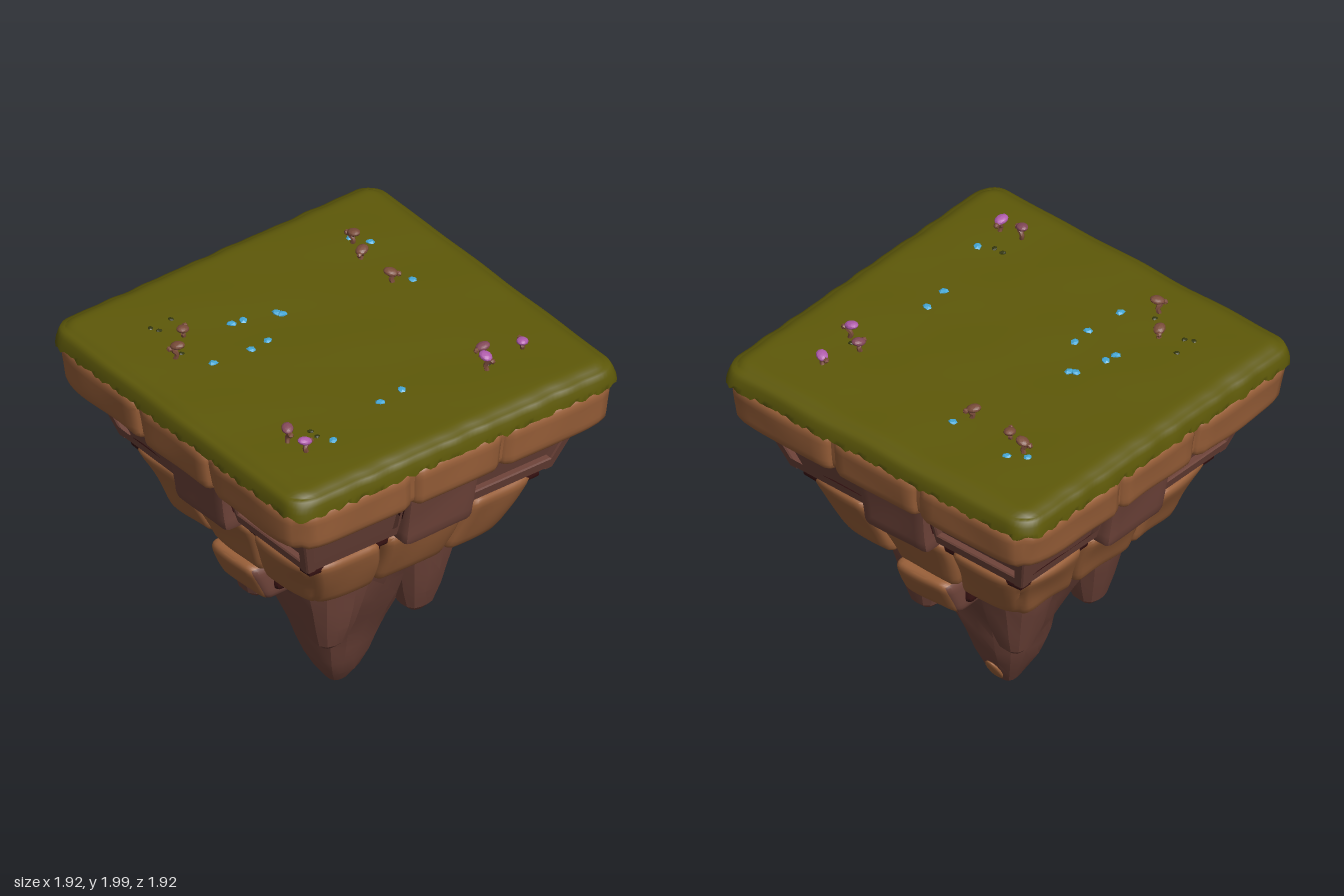
import * as THREE from 'three';
import { toCreasedNormals } from 'three/addons/utils/BufferGeometryUtils.js';

const mat = (name, color) => Object.assign(new THREE.MeshStandardMaterial({ color }), { name });
const grass = mat('grass', 0x5e5909);
const stone = mat('warm stone', 0x9a6039);
const rock = mat('brown rock', 0x6f443a);
const gap = mat('dark gap', 0x361212);
const stem = mat('dry stem', 0x7a4c3a);
const mauve = mat('mauve cap', 0x84495a);
const pink = mat('pink petal', 0xb05cac);
const blue = mat('blue petal', 0x46a8d6);
const leaf = mat('dark leaf', 0x35380f);

// Smooth deterministic wobble, roughly -1..1
const wobble = (x, y, z) =>
  (Math.sin(x * 13 + z * 7 + 1) + Math.sin(y * 17 - x * 9 + 2) + Math.sin(z * 15 + y * 11 + 4)) / 3;

// Move every vertex by a rule
function warp(geo, rule) {
  const p = geo.attributes.position, v = new THREE.Vector3();
  for (let i = 0; i < p.count; i++) {
    rule(v.fromBufferAttribute(p, i));
    p.setXYZ(i, v.x, v.y, v.z);
  }
  return geo;
}

function add(group, name, geo, material, crease = 0.6) {
  const mesh = new THREE.Mesh(toCreasedNormals(geo, crease), material);
  mesh.name = name;
  group.add(mesh);
  return mesh;
}

// Rounded, hewn block between two corners; narrows towards the axis at its foot
function block([x0, x1], [y0, y1], [z0, z1], { r = 0.04, taper = 1, rough = 0.01 } = {}) {
  const h = new THREE.Vector3(x1 - x0, y1 - y0, z1 - z0).multiplyScalar(0.5);
  const lim = h.clone().subScalar(r), inner = new THREE.Vector3();
  const geo = new THREE.BoxGeometry(h.x * 2, h.y * 2, h.z * 2, 12, 10, 12);
  return warp(geo, v => {
    inner.copy(v).clamp(lim.clone().negate(), lim);
    v.sub(inner).setLength(r).add(inner);
    const s = taper + (1 - taper) * (v.y / h.y + 1) / 2;
    v.x += (x0 + x1) / 2; v.y += (y0 + y1) / 2; v.z += (z0 + z1) / 2;
    const n = wobble(v.x, v.y, v.z) * rough;
    v.x = v.x * s + n; v.z = v.z * s - n; v.y += n * 0.6;
  });
}

// Pull the plan of a square course in at its corners
const softenCorners = (geo, power) => warp(geo, v => {
  const a = Math.abs(v.x), b = Math.abs(v.z);
  const k = Math.max(a, b) / Math.pow(a ** power + b ** power, 1 / power);
  v.x *= k; v.z *= k;
});

// Eight blocks around a square
function ring(group, name, half, cut, joint, ys, power, opts) {
  const spans = [[-half, -cut - joint], [-cut + joint, cut - joint], [cut + joint, half]];
  for (let i = 0; i < 3; i++) for (let j = 0; j < 3; j++)
    if (i !== 1 || j !== 1) add(group, name, softenCorners(block(spans[i], ys, spans[j], opts), power), stone, 0.9);
}

// Lathed rock with a squarish plan and rough, faceted surface
function boulder(profile, sides, square, rough, dx = 0, dz = 0) {
  const geo = new THREE.LatheGeometry(profile.map(p => new THREE.Vector2(...p)), sides);
  return warp(geo, v => {
    const a = Math.atan2(v.z, v.x);
    const k = 1 - square * Math.cos(4 * a) + (v.y > 0.02 ? wobble(v.x * 1.4 + dx, v.y, v.z * 1.4 + dz) * rough : 0);
    v.x = v.x * k + dx; v.z = v.z * k + dz;
  });
}

function buildGrass(group) {
  const geo = new THREE.BoxGeometry(1.91, 0.115, 1.91, 72, 4, 72);
  warp(geo, v => {
    const top = v.y > 0.05, bottom = v.y < -0.05;
    const inX = THREE.MathUtils.clamp(v.x, -0.85, 0.85), inZ = THREE.MathUtils.clamp(v.z, -0.85, 0.85);
    const d = Math.hypot(v.x - inX, v.z - inZ);
    // rounded plan corners and shoulder
    if (d > 0.105) { v.x = inX + (v.x - inX) * 0.105 / d; v.z = inZ + (v.z - inZ) * 0.105 / d; }
    const up = (v.y + 0.0575) / 0.115, edge = Math.min(d / 0.105, 1);
    const shrink = 1 - 0.035 * edge * up * up;
    v.x *= shrink; v.z *= shrink;
    // ragged lower fringe
    if (bottom) v.y += 0.008 * Math.sin(v.x * 97 + v.z * 71) + 0.007 * Math.sin(v.x * 41 - v.z * 57);
    if (top) v.y -= 0.026 * edge * edge;
    v.x += 0.006 * wobble(v.z * 3, v.y, v.x) * edge; v.z += 0.006 * wobble(v.x, v.y, v.z * 3) * edge;
    v.y += 1.848 + 0.003 * wobble(v.x, 0, v.z);
  });
  add(group, 'grassTop', geo, grass, 1.2);
}

function buildBand(group) {
  const taper = v => { const s = 0.88 + 0.12 * (v.y - 1.29) / 0.28; v.x *= s; v.z *= s; };
  add(group, 'bandCore', warp(new THREE.BoxGeometry(1.55, 0.3, 1.55).translate(0, 1.43, 0), taper), rock);
  add(group, 'bandFoot', block([-0.68, 0.68], [1.22, 1.31], [-0.68, 0.68], { r: 0.02 }), gap);
  const rect = (Path, x0, x1, y0, y1) => {
    const s = new Path();
    s.moveTo(x0, y0); s.lineTo(x1, y0); s.lineTo(x1, y1); s.lineTo(x0, y1); s.closePath();
    return s;
  };
  for (let k = 0; k < 4; k++) {
    const turn = k * Math.PI / 2;
    for (const side of [-1, 1]) {
      // framed panel either side of the pillar
      const frame = rect(THREE.Shape, side * 0.17, side * 0.808, 1.295, 1.58);
      frame.holes.push(rect(THREE.Path, side * 0.23, side * 0.765, 1.35, 1.54));
      const geo = new THREE.ExtrudeGeometry(frame, { depth: 0.045, bevelEnabled: true, bevelSize: 0.008, bevelThickness: 0.008, bevelSegments: 1 });
      add(group, 'panelFrame', warp(geo.translate(0, 0, 0.763), taper).rotateY(turn), rock, 0.3);
    }
    // dark crevice where the pillar meets the panels
    const crevice = new THREE.BoxGeometry(0.43, 0.27, 0.12).translate(0, 1.435, 0.762);
    add(group, 'pillarCrevice', warp(crevice, taper).rotateY(turn), gap);
    // centre pillar, standing proud of the panels
    const pillar = block([-0.205, 0.205], [1.255, 1.6], [0.55, 0.85], { r: 0.03, rough: 0.006 });
    warp(pillar, v => { v.z -= (1.6 - v.y) * 0.18; v.x *= 0.95 + (v.y - 1.25) * 0.15; });
    add(group, 'pillar', pillar.rotateY(turn), rock);
  }
}

function buildRock(group) {
  add(group, 'rockSpike', boulder([[0, 0.005], [0.05, 0.02], [0.1, 0.09], [0.148, 0.18], [0.188, 0.28], [0.222, 0.38],
    [0.263, 0.48], [0.315, 0.6], [0.38, 0.73], [0.445, 0.85], [0.475, 0.95], [0.48, 1.1], [0, 1.1]], 16, 0.05, 0.1), rock, 0.35);
  // broad hanging lobes on the four corners
  for (const sx of [-1, 1]) for (const sz of [-1, 1])
    add(group, 'rockLobe', boulder([[0, 0.45], [0.045, 0.455], [0.08, 0.49], [0.12, 0.6], [0.155, 0.72], [0.18, 0.82], [0.2, 0.95], [0, 0.98]],
      14, 0.05, 0.08, sx * 0.27, sz * 0.255), rock, 0.35);
  // small hanging stones, front and back, with brown flanks and a dark socket
  for (let s = 0; s < 2; s++) {
    const small = warp(block([-0.17, 0.17], [0.73, 0.96], [0.4, 0.63], { r: 0.05, taper: 0.93 }),
      v => { v.z -= (0.96 - v.y) * 0.22; });
    add(group, 'hangingStone', small.rotateY(s * Math.PI), [rock, rock, stone, stone, stone, stone]);
    const socket = block([-0.19, 0.19], [0.79, 0.96], [0.3, 0.5], { r: 0.03 });
    add(group, 'stoneSocket', socket.rotateY(s * Math.PI), gap);
  }
  // stone chip near the tip at the back
  const chip = add(group, 'stoneChip', new THREE.SphereGeometry(1, 12, 8), stone);
  chip.scale.set(0.045, 0.075, 0.014);
  chip.position.set(-0.01, 0.115, -0.109);
  chip.rotation.x = -0.52;
}

// Curled stalk with a lumpy cap
function sprout(group, x, z, top, capMat, turn) {
  const g = new THREE.Group(), h = top - 1.9;
  g.name = 'sprout';
  const path = new THREE.CatmullRomCurve3([[0, -0.01, 0], [0.012, h * 0.35, 0], [-0.008, h * 0.6, 0.008], [0.012, h - 0.02, 0]]
    .map(p => new THREE.Vector3(...p)));
  add(g, 'stalk', new THREE.TubeGeometry(path, 8, 0.012, 6), stem);
  const cap = add(g, 'cap', new THREE.IcosahedronGeometry(1, 1), capMat);
  cap.scale.set(0.036, 0.018, 0.029);
  cap.position.set(0.014, h - 0.02, 0);
  cap.rotation.z = 0.2;
  const bud = add(g, 'bud', new THREE.IcosahedronGeometry(0.015, 0), stem);
  bud.position.set(-0.022, h * 0.62, 0.01);
  g.position.set(x, 1.9, z);
  g.rotation.y = turn;
  group.add(g);
}

function buildPlants(group) {
  [[-0.58, -0.54, 1.99, stem], [-0.45, -0.49, 1.97, stem], [-0.21, -0.5, 1.98, stem], [0.57, -0.65, 1.97, pink],
    [0.51, -0.45, 1.98, mauve], [0.62, -0.41, 2, pink], [-0.46, 0.53, 1.97, stem], [-0.34, 0.68, 2, stem],
    [0.52, 0.68, 2, mauve], [0.63, 0.65, 1.99, pink]]
    .forEach(([x, z, top, m], i) => sprout(group, x, z, top, m, i * 1.9));
  const tuft = (name, m, size, list) => list.forEach(([x, z], i) => {
    const t = add(group, name, new THREE.IcosahedronGeometry(size, 0), m);
    t.position.set(x, 1.905, z);
    t.scale.set(1.1, 0.5, 0.9);
    t.rotation.y = i * 1.3;
  });
  tuft('blueFlower', blue, 0.024, [[-0.345, 0.08], [-0.32, 0.065], [-0.39, 0.24], [-0.4, 0.3], [-0.19, 0.25], [-0.18, 0.355],
    [-0.2, 0.56], [0.5, 0], [0.52, 0.14], [0.63, 0.5], [-0.53, -0.61], [-0.61, -0.555], [-0.17, -0.58]]);
  tuft('leafTuft', leaf, 0.016, [[-0.6, 0.5], [-0.56, 0.6], [-0.6, 0.62], [0.51, 0.54], [0.56, 0.54], [0.58, -0.44], [-0.35, 0.63]]);
}

export function createModel() {
  const model = new THREE.Group();
  model.name = 'floatingIsland';
  buildGrass(model);
  // upper and lower stone courses with joints behind
  ring(model, 'upperStone', 0.965, 0.27, 0.004, [1.567, 1.812], 14, { r: 0.055, taper: 0.965, rough: 0.007 });
  add(model, 'upperJoint', softenCorners(block([-0.935, 0.935], [1.59, 1.8], [-0.935, 0.935], { r: 0.03, taper: 0.965 }), 14), stone);
  buildBand(model);
  ring(model, 'lowerStone', 0.72, 0.245, 0.012, [0.93, 1.275], 9, { r: 0.055, taper: 0.8, rough: 0.012 });
  add(model, 'lowerJoint', softenCorners(block([-0.66, 0.66], [0.96, 1.26], [-0.66, 0.66], { r: 0.02, taper: 0.8 }), 9), gap);
  buildRock(model);
  buildPlants(model);
  return model;
}
